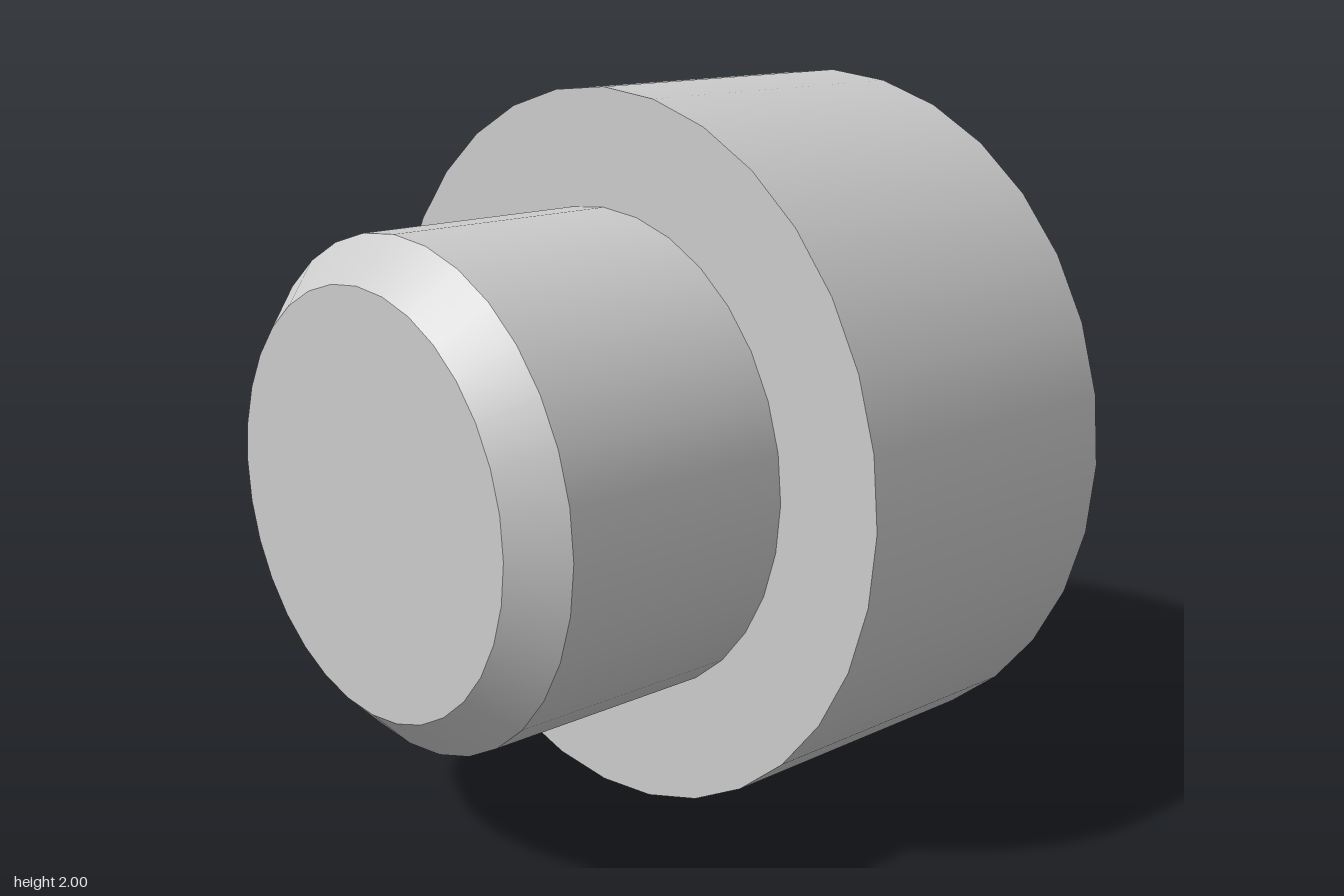
import * as THREE from 'three';

const SEGMENTS = 32;

export function createModel() {
  const model = new THREE.Group();
  model.name = 'steppedPin';
  const material = new THREE.MeshStandardMaterial({ color: 0xcccccc });

  const add = (name, geometry) => {
    const mesh = new THREE.Mesh(geometry, material);
    mesh.name = name;
    model.add(mesh);
  };

  // Open wall along x, from x0 (radius r0) to x1 (radius r1)
  const wall = (name, x0, r0, x1, r1) =>
    add(name, new THREE.CylinderGeometry(r1, r0, x1 - x0, SEGMENTS, 1, true)
      .rotateZ(-Math.PI / 2)
      .translate((x0 + x1) / 2, 1, 0));

  // Flat face across the x axis, looking towards +x or -x
  const face = (name, geometry, x, direction) =>
    add(name, geometry.rotateY(direction * Math.PI / 2).translate(x, 1, 0));

  // Wide head
  wall('headWall', -0.05, 1, 0.85, 1);
  face('headEnd', new THREE.CircleGeometry(1, SEGMENTS), 0.85, 1);
  face('headShoulder', new THREE.RingGeometry(0.68, 1, SEGMENTS), -0.05, -1);

  // Narrower shank with a chamfered tip
  wall('shankWall', -0.735, 0.68, -0.05, 0.68);
  wall('tipChamfer', -0.85, 0.565, -0.735, 0.68);
  face('tipEnd', new THREE.CircleGeometry(0.565, SEGMENTS), -0.85, -1);

  return model;
}
